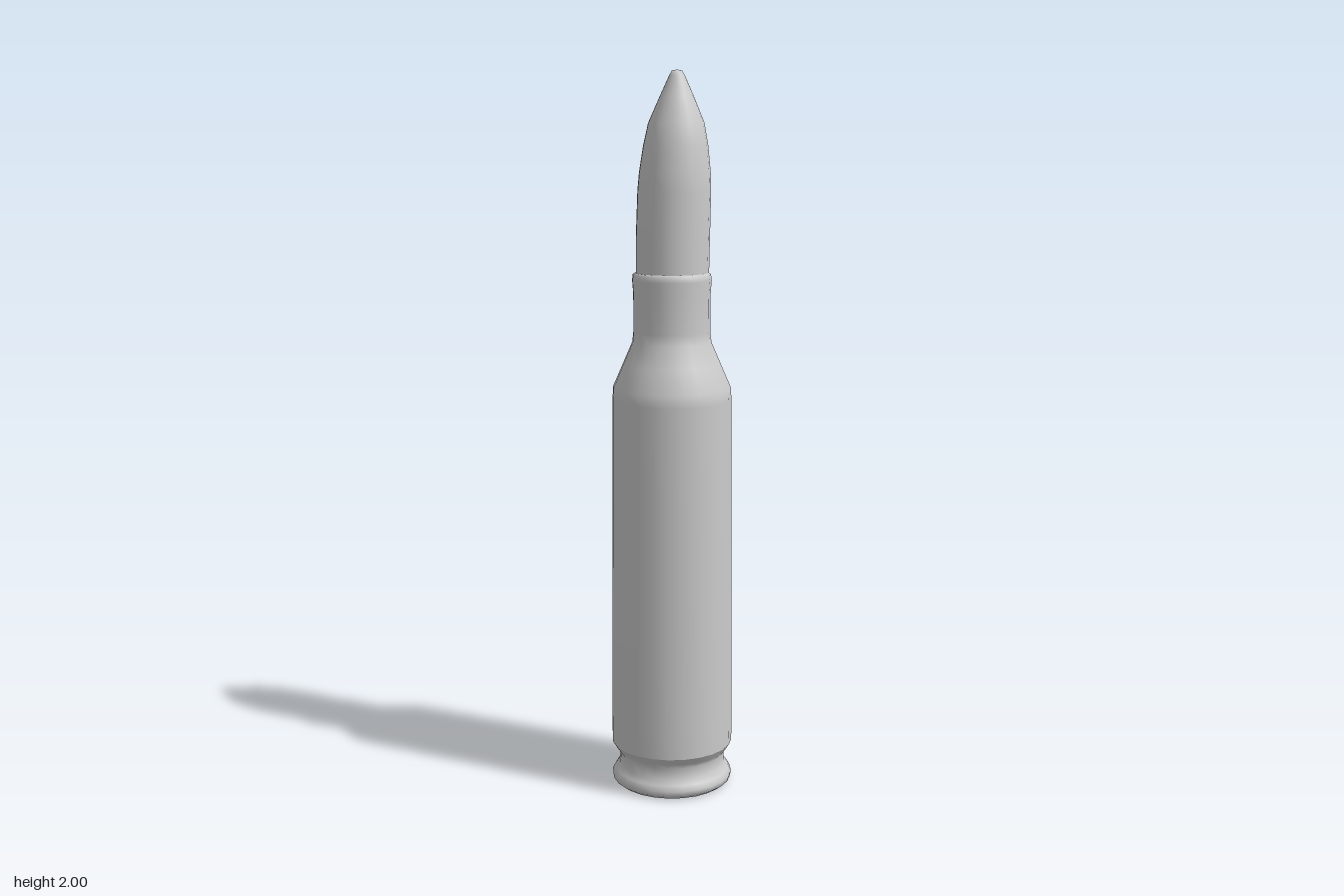
import * as THREE from 'three';

const SIDES = 24;

// Turned part from [radius, height] pairs, listed bottom to top
function turned(name, profile, material) {
  const points = profile.map(([r, y]) => new THREE.Vector2(r, y));
  const mesh = new THREE.Mesh(new THREE.LatheGeometry(points, SIDES), material);
  mesh.name = name;
  return mesh;
}

export function createModel() {
  const group = new THREE.Group();
  group.name = 'cartridge';
  const metal = new THREE.MeshStandardMaterial({ color: 0xcccccc, side: THREE.DoubleSide });

  // Flat base closing the bottom
  group.add(turned('base', [[0, 0.008], [0.1, 0.005], [0.155, 0]], metal));

  // Rim flange and extractor groove, flaring back out to the case
  group.add(turned('rim', [
    [0.155, 0], [0.168, 0.01], [0.171, 0.025], [0.163, 0.04], [0.151, 0.055],
    [0.148, 0.085], [0.158, 0.1], [0.171, 0.12],
  ], metal));

  // Slightly tapered case, shoulder and neck
  group.add(turned('case', [
    [0.171, 0.12], [0.172, 0.2], [0.17, 0.5], [0.167, 0.85], [0.165, 1.11], [0.163, 1.145],
    [0.135, 1.21], [0.109, 1.27], [0.106, 1.3], [0.106, 1.4], [0.109, 1.44],
    [0.107, 1.455], [0.1, 1.46],
  ], metal));

  // Bullet seated in the neck, its ogive leaning slightly to one side
  const bullet = turned('bullet', [
    [0.1, 1.42], [0.101, 1.55], [0.1, 1.68], [0.097, 1.73], [0.088, 1.8], [0.076, 1.86],
    [0.046, 1.93], [0.021, 1.985], [0.014, 1.997], [0, 2],
  ], metal);
  const pos = bullet.geometry.attributes.position;
  for (let i = 0; i < pos.count; i++) {
    const t = THREE.MathUtils.smoothstep(pos.getY(i), 1.42, 2);
    pos.setX(i, pos.getX(i) + 0.003 + 0.01 * t);
    pos.setZ(i, pos.getZ(i) - 0.002 + 0.008 * t);
  }
  group.add(bullet);

  return group;
}
